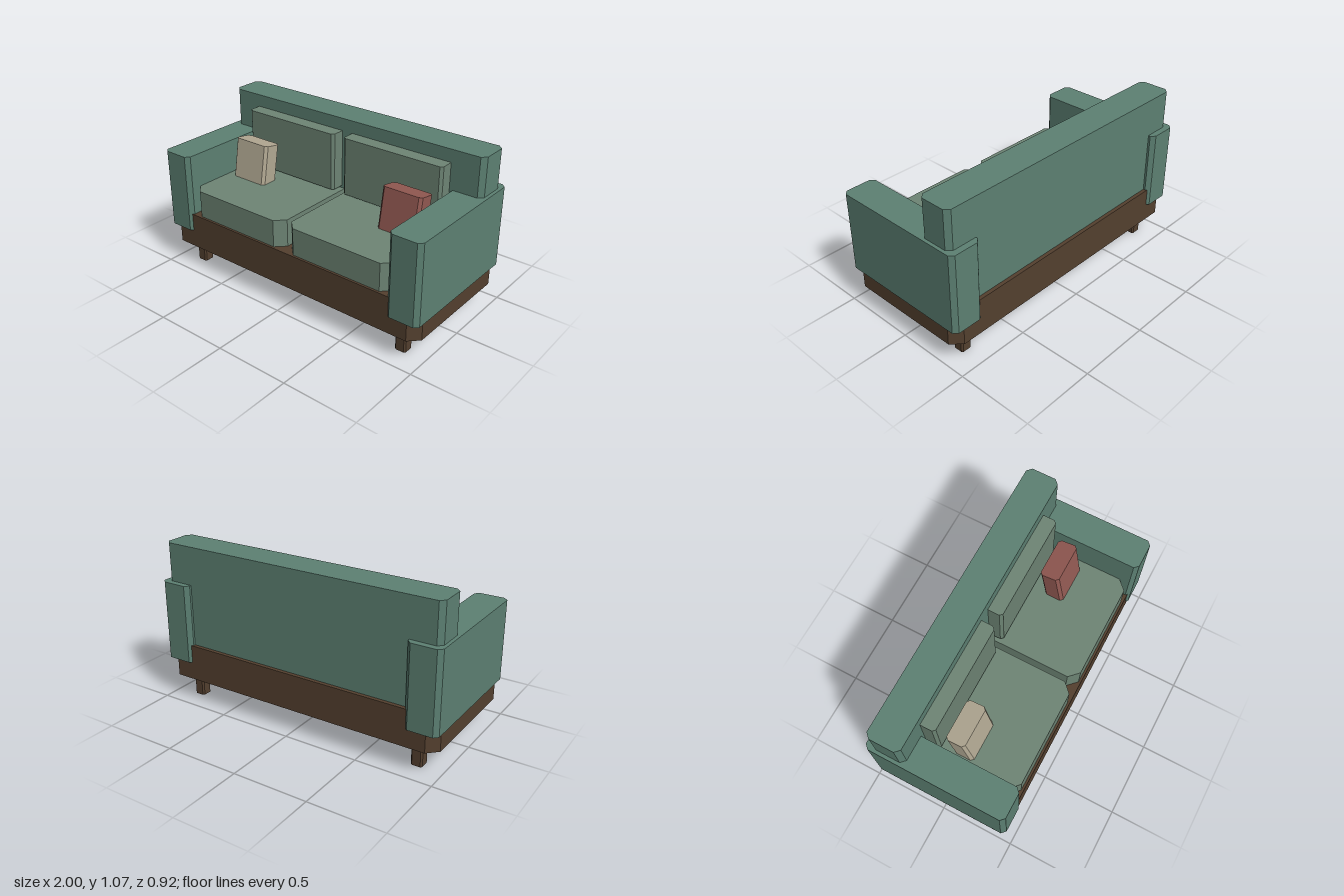
import * as THREE from 'three';

const mat = (color) => new THREE.MeshStandardMaterial({ color, flatShading: true });

// Box whose four upright edges are chamfered by c; centred on x and z, spanning y0..y1
function chamferBox(w, d, c, y0, y1) {
  const x = w / 2, z = d / 2;
  const shape = new THREE.Shape([
    [x - c, -z], [x, -z + c], [x, z - c], [x - c, z],
    [-x + c, z], [-x, z - c], [-x, -z + c], [-x + c, -z],
  ].map(([a, b]) => new THREE.Vector2(a, b)));
  const geo = new THREE.ExtrudeGeometry(shape, { depth: y1 - y0, bevelEnabled: false });
  return geo.rotateX(-Math.PI / 2).translate(0, y0, 0);
}

export function createModel() {
  const sofa = new THREE.Group();
  sofa.name = 'sofa';
  const wood = mat(0x54402f), fabric = mat(0x5d8173), cushion = mat(0x6e8575);
  const cream = mat(0xb3aa94), red = mat(0x925952);

  const add = (name, geo, material, x = 0, y = 0, z = 0) => {
    const mesh = new THREE.Mesh(geo, material);
    mesh.name = name;
    mesh.position.set(x, y, z);
    sofa.add(mesh);
    return mesh;
  };

  // Wooden base and backrest
  add('base', chamferBox(1.974, 0.89, 0.065, 0.158, 0.4), wood);
  add('backrest', chamferBox(1.956, 0.22, 0.03, 0.39, 1.068), fabric, 0, 0, -0.31);

  // Parts repeated on both sides
  for (const s of [1, -1]) {
    const side = s > 0 ? 'left' : 'right';
    add(side + 'Arm', chamferBox(0.216, 0.922, 0.027, 0.28, 0.812), fabric, s * 0.892);
    add(side + 'SeatCushion', chamferBox(0.765, 0.75, 0.062, 0.395, 0.583), cushion, s * 0.4, 0, 0.055);
    add(side + 'BackCushion', chamferBox(0.722, 0.15, 0.017, 0.6, 0.985), cushion, s * 0.4, 0, -0.18);

    // Throw pillow leaning backwards
    const pillow = add(side + 'Pillow', chamferBox(0.275, 0.13, 0.018, -0.1375, 0.1375),
      s > 0 ? red : cream, s * 0.599, 0.698, 0.021);
    pillow.rotation.x = -0.17;

    for (const f of [1, -1]) {
      add(side + (f > 0 ? 'Front' : 'Rear') + 'Leg',
        chamferBox(0.075, 0.075, 0.01, 0, 0.16), wood, s * 0.83, 0, f * 0.323);
    }
  }
  return sofa;
}
